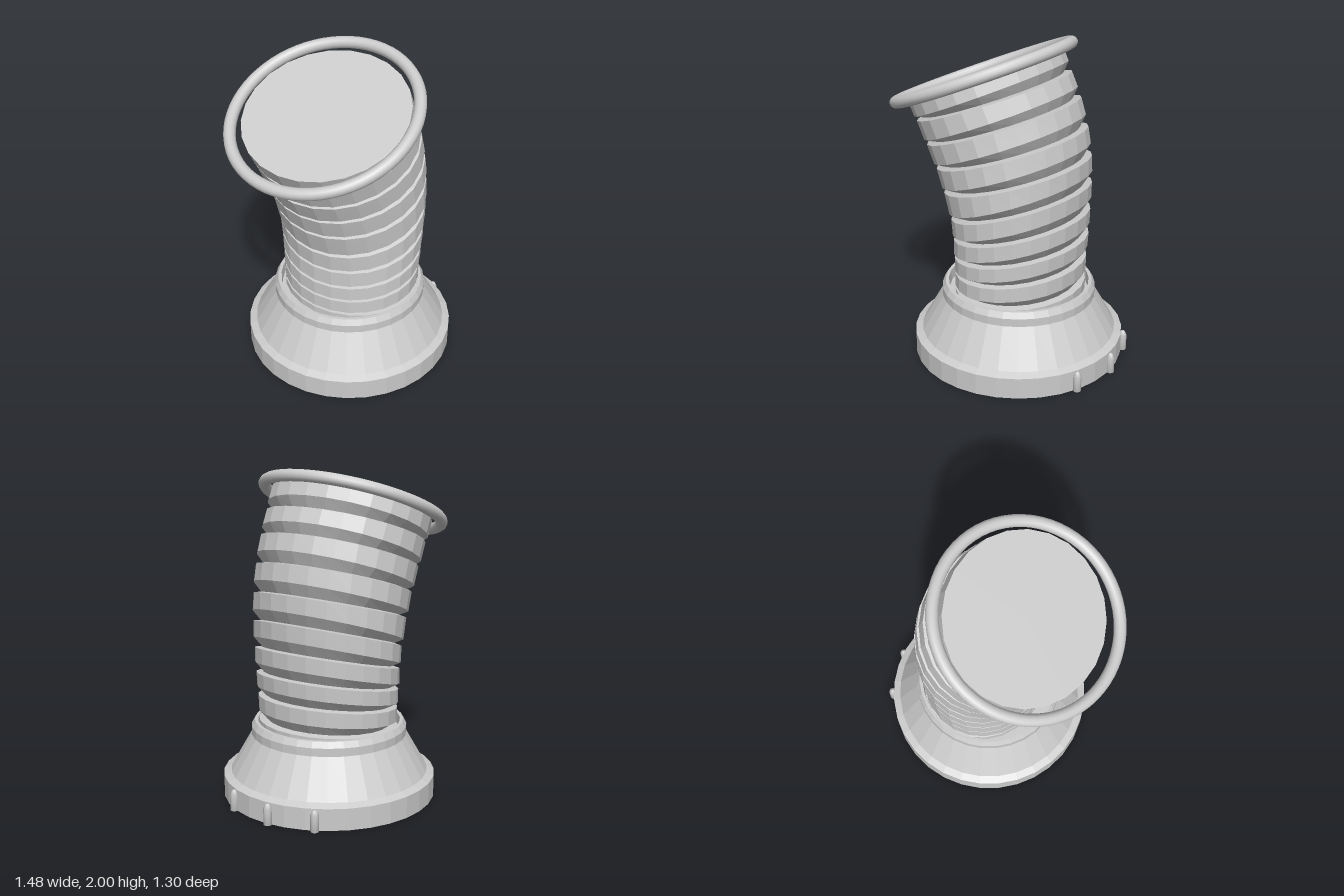
import * as THREE from 'three';

const flatMat = new THREE.MeshStandardMaterial({ color: 0xcccccc, flatShading: true });
const smoothMat = new THREE.MeshStandardMaterial({ color: 0xcccccc });

const BASE_X = 0.055;
const TILT = THREE.MathUtils.degToRad(23);

// Upper edge of each bellows band, top to bottom: left x, y, right x, y
const BANDS = [
  [-0.62, 1.565, 0.25, 1.935],
  [-0.56, 1.45, 0.32, 1.79],
  [-0.495, 1.315, 0.39, 1.645],
  [-0.43, 1.18, 0.445, 1.475],
  [-0.38, 1.04, 0.475, 1.3],
  [-0.33, 0.875, 0.48, 1.13],
  [-0.315, 0.75, 0.475, 0.955],
  [-0.315, 0.635, 0.47, 0.79],
  [-0.315, 0.535, 0.46, 0.635],
  [-0.315, 0.44, 0.455, 0.47],
  [-0.315, 0.36, 0.455, 0.36],
];

// A tilted elliptical cross-section spanning two points, scaled about its centre
function section([lx, ly, rx, ry], depth, scale = 1) {
  return {
    cx: (lx + rx) / 2, cy: (ly + ry) / 2,
    ux: ((rx - lx) / 2) * scale, uy: ((ry - ly) / 2) * scale,
    rz: depth * scale,
  };
}

// Skin over cross-sections listed from top to bottom, with a cap on top
function loft(sections, sides) {
  const pos = [], idx = [];
  for (const s of sections) {
    for (let i = 0; i < sides; i++) {
      const a = (i / sides) * Math.PI * 2, c = Math.cos(a);
      pos.push(s.cx + s.ux * c, s.cy + s.uy * c, s.rz * Math.sin(a));
    }
  }
  for (let j = 0; j < sections.length - 1; j++) {
    for (let i = 0; i < sides; i++) {
      const a = j * sides + i, a2 = j * sides + ((i + 1) % sides);
      idx.push(a, a2, a + sides, a2, a2 + sides, a + sides);
    }
  }
  const centre = pos.length / 3;
  pos.push(sections[0].cx, sections[0].cy, 0);
  for (let i = 0; i < sides; i++) idx.push(centre, (i + 1) % sides, i);
  const g = new THREE.BufferGeometry();
  g.setAttribute('position', new THREE.Float32BufferAttribute(pos, 3));
  g.setIndex(idx);
  const flat = g.toNonIndexed();
  flat.computeVertexNormals();
  return flat;
}

function bellowsGeometry() {
  const sections = [];
  const last = BANDS.length - 1;
  const mix = (p, q, tl, tr) => p.map((v, k) => THREE.MathUtils.lerp(v, q[k], k < 2 ? tl : tr));
  BANDS.forEach((band, i) => {
    const depth = THREE.MathUtils.lerp(0.505, 0.44, Math.min(1, i / 8));
    sections.push(section(band, depth));
    if (i >= last - 1) return;
    const next = BANDS[i + 1];
    sections.push(section(mix(band, next, 0.84, 0.57), depth)); // lower edge of the band
    sections.push(section(mix(band, next, 0.95, 0.94), depth, 0.89)); // bottom of the groove
  });
  return loft(sections, 24);
}

function lathe(points, sides) {
  return new THREE.LatheGeometry(points.map(([r, y]) => new THREE.Vector2(r, y)), sides);
}

export function createModel() {
  const model = new THREE.Group();
  const add = (name, geometry, material, x = 0, y = 0, z = 0) => {
    const mesh = new THREE.Mesh(geometry, material);
    mesh.name = name;
    mesh.position.set(x, y, z);
    model.add(mesh);
    return mesh;
  };

  // Flared base with a shallow socket for the hose
  add('base', lathe([
    [0, 0], [0.65, 0], [0.65, 0.132], [0.605, 0.152], [0.475, 0.38],
    [0.475, 0.43], [0.455, 0.465], [0.435, 0.465], [0.43, 0.4], [0, 0.4],
  ], 32), flatMat, BASE_X);

  // Bent, corrugated hose
  add('bellowsHose', bellowsGeometry(), flatMat);

  // Tilted ring around the top opening
  const ring = add('topRing', new THREE.TorusGeometry(0.548, 0.036, 12, 64).rotateX(Math.PI / 2),
    smoothMat, -0.2, 1.75);
  ring.rotation.z = TILT;

  // Three pointed pins on the side of the base
  const pin = lathe([[0, 0], [0.025, 0], [0.025, 0.1], [0.012, 0.126], [0, 0.13]], 10);
  for (const [x, z] of [[0.64, -0.305], [0.712, -0.025], [0.655, 0.268]]) {
    add('basePin', pin, smoothMat, x, 0, z);
  }

  return model;
}
